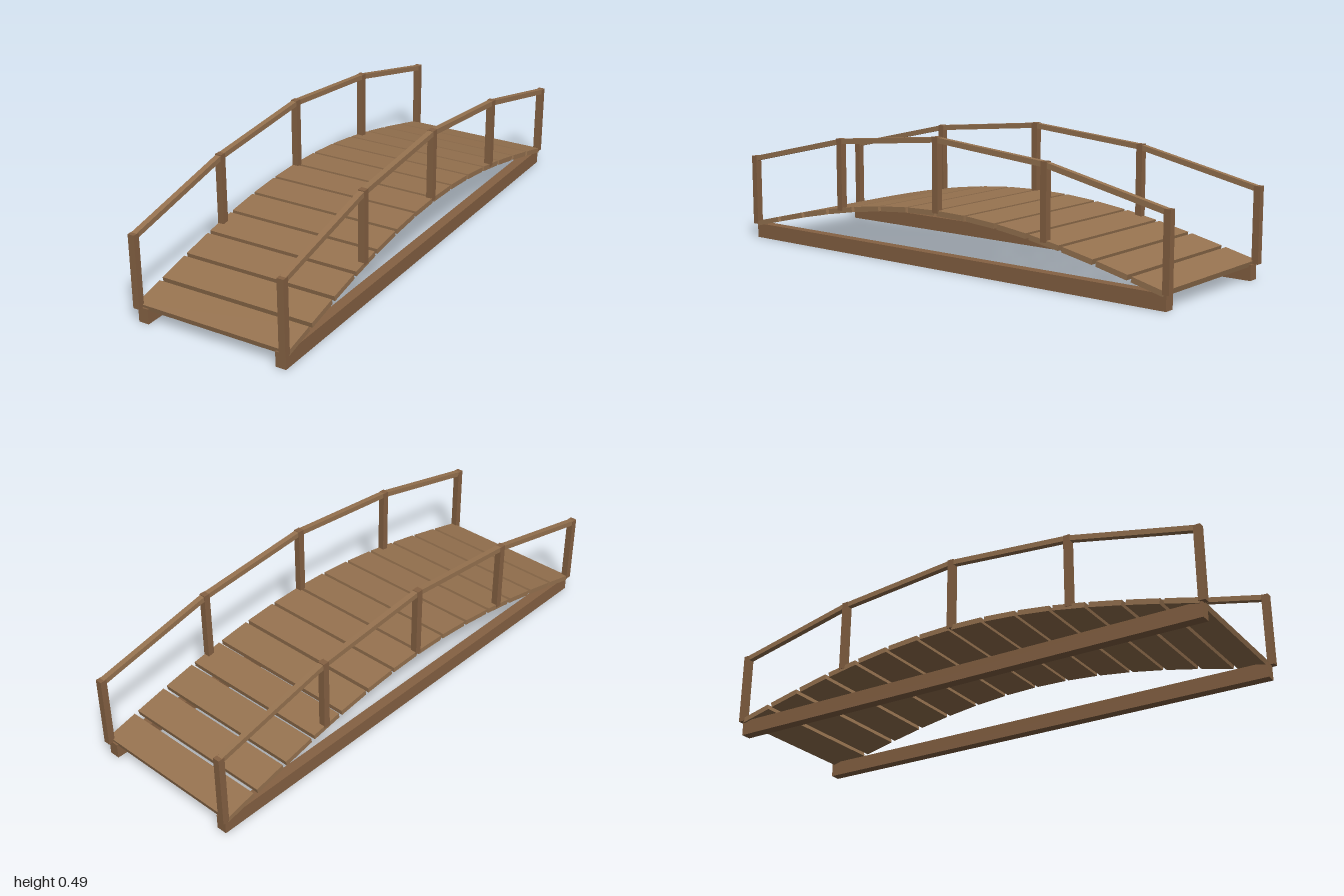
import * as THREE from 'three';

export function createModel() {
  const bridge = new THREE.Group();
  bridge.name = 'footbridge';
  const plankWood = new THREE.MeshStandardMaterial({ color: 0x977350 });
  const postWood = new THREE.MeshStandardMaterial({ color: 0x866243 });

  // Height of the arched deck's centre line at a given z
  const HALF = 0.987;
  const arch = (z) => 0.057 + 0.155 * Math.cos((Math.PI / 2) * (z / HALF));

  function addBox(parent, name, material, size, position, pitch = 0) {
    const mesh = new THREE.Mesh(new THREE.BoxGeometry(...size), material);
    mesh.name = name;
    mesh.position.set(...position);
    mesh.rotation.x = pitch;
    parent.add(mesh);
    return mesh;
  }

  // Deck planks, each tilted to follow the arch
  const deck = new THREE.Group();
  deck.name = 'deck';
  bridge.add(deck);
  const COUNT = 14;
  for (let i = 0; i < COUNT; i++) {
    const z = (i - (COUNT - 1) / 2) * 0.141;
    const slope = (arch(z + 0.01) - arch(z - 0.01)) / 0.02;
    addBox(deck, 'plank', plankWood, [0.62, 0.02, 0.128], [0, arch(z), z], -Math.atan(slope));
  }

  // Straight beam, posts and handrail on each side
  const POST_HEIGHT = 0.282;
  const RAIL_HEIGHT = 0.271;
  const postZ = [-2, -1, 0, 1, 2].map((k) => (k * HALF) / 2);
  for (const side of [-1, 1]) {
    const railing = new THREE.Group();
    railing.name = side > 0 ? 'leftRailing' : 'rightRailing';
    bridge.add(railing);
    const x = side * 0.299;

    addBox(bridge, side > 0 ? 'leftBeam' : 'rightBeam', postWood,
      [0.041, 0.058, 1.97], [side * 0.2825, 0.029, 0]);

    postZ.forEach((z, i) => {
      addBox(railing, 'post', postWood, [0.026, POST_HEIGHT, 0.026],
        [x, arch(z) + POST_HEIGHT / 2, z]);
      if (i === 0) return;
      // Rail segment back to the previous post
      const z0 = postZ[i - 1];
      const y0 = arch(z0) + RAIL_HEIGHT;
      const y1 = arch(z) + RAIL_HEIGHT;
      addBox(railing, 'handrail', plankWood, [0.022, 0.02, Math.hypot(z - z0, y1 - y0)],
        [x, (y0 + y1) / 2, (z0 + z) / 2], -Math.atan2(y1 - y0, z - z0));
    });
  }
  return bridge;
}
